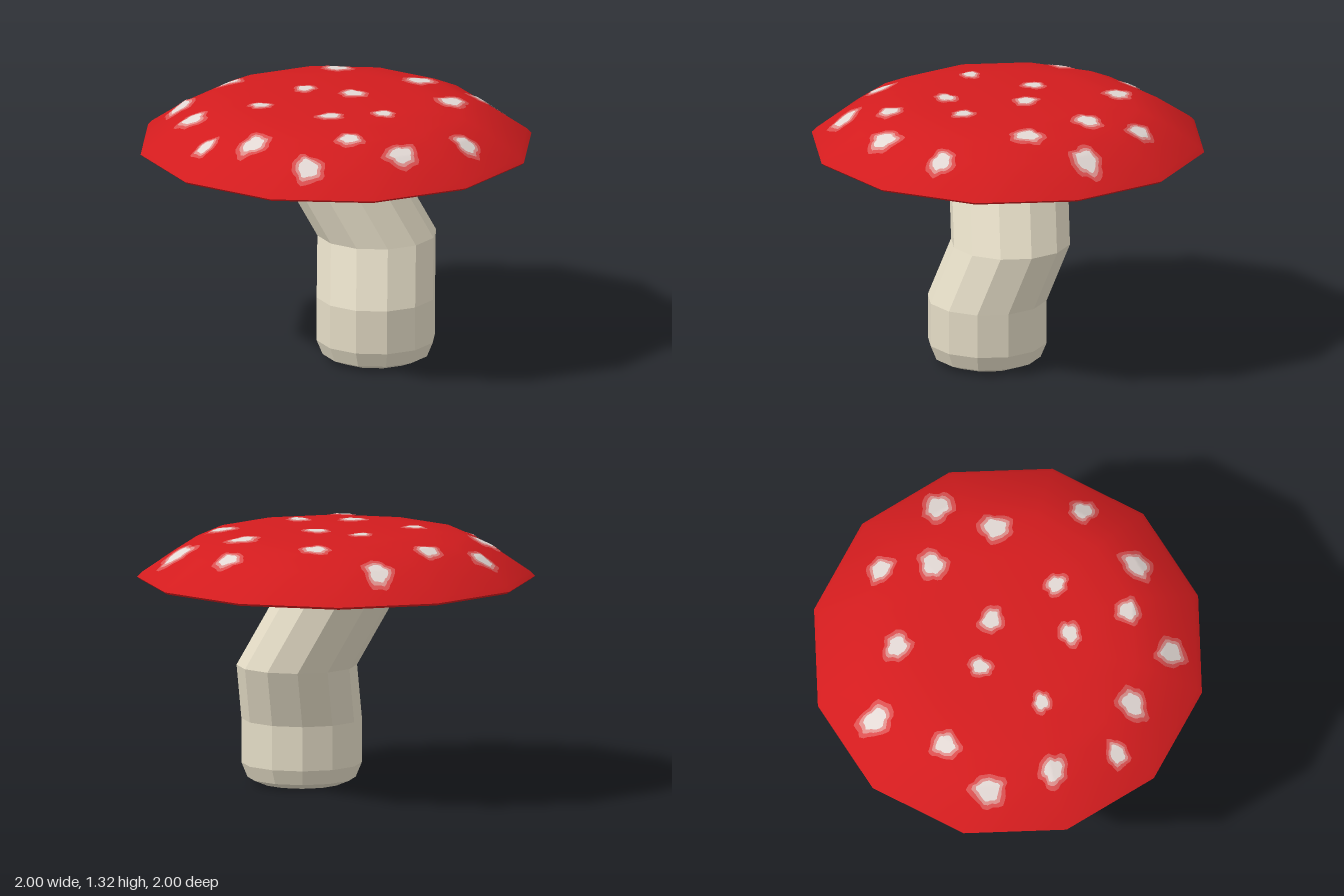
import * as THREE from 'three';
import { toCreasedNormals } from 'three/addons/utils/BufferGeometryUtils.js';

const SIDES = 12;
const mat = (name, color) => {
  const m = new THREE.MeshStandardMaterial({ color });
  m.name = name;
  return m;
};

// Upper cap profile: [radius, height] from the rim to the flat crown
const CAP_TOP = [[1, 1.078], [0.977, 1.102], [0.8, 1.222], [0.655, 1.287], [0.435, 1.315], [0, 1.315]];

// Height of the faceted cap surface above any point
function capHeight(x, z) {
  let r = 0;
  for (let i = 0; i < SIDES; i++) {
    const a = (i + 0.5) * Math.PI * 2 / SIDES;
    r = Math.max(r, x * Math.cos(a) + z * Math.sin(a));
  }
  r /= Math.cos(Math.PI / SIDES);
  for (let i = 0; i < CAP_TOP.length - 1; i++) {
    const [r0, y0] = CAP_TOP[i], [r1, y1] = CAP_TOP[i + 1];
    if (r >= r1) return y0 + (y1 - y0) * (r0 - r) / (r0 - r1);
  }
  return CAP_TOP[CAP_TOP.length - 1][1];
}

function lathe(points) {
  return new THREE.LatheGeometry(points.map(p => new THREE.Vector2(p[0], p[1])), SIDES);
}

// Ragged blob that follows the cap surface, longer along one direction
function blob([cx, cz, radius, stretch, degrees], scale, lift, seed) {
  const N = 24, RINGS = 5, pos = [], index = [];
  const turn = degrees * Math.PI / 180, c = Math.cos(turn), s = Math.sin(turn);
  const outline = a => radius * scale * (1 + 0.08 * Math.sin(3 * a + seed * 2.9)
    + 0.08 * Math.sin(5 * a + seed * 4.3) + 0.05 * Math.sin(8 * a + seed * 1.7));
  const add = (x, z) => pos.push(x, capHeight(x, z) + lift, z);
  add(cx, cz);
  for (let j = 1; j <= RINGS; j++) {
    for (let k = 0; k < N; k++) {
      const a = k * Math.PI * 2 / N, r = outline(a) * j / RINGS;
      const u = r * Math.cos(a) * stretch, v = r * Math.sin(a) / stretch;
      add(cx + u * c - v * s, cz + u * s + v * c);
    }
  }
  for (let k = 0; k < N; k++) {
    const n = (k + 1) % N;
    index.push(0, 1 + n, 1 + k);
    for (let j = 0; j < RINGS - 1; j++) {
      const a = 1 + j * N, b = a + N;
      index.push(a + k, a + n, b + k, a + n, b + n, b + k);
    }
  }
  const g = new THREE.BufferGeometry();
  g.setAttribute('position', new THREE.Float32BufferAttribute(pos, 3));
  g.setIndex(index);
  g.computeVertexNormals();
  return g;
}

export function createModel() {
  const model = new THREE.Group();
  model.name = 'mushroom';
  const red = mat('cap red', 0xd31c1e);
  const cream = mat('stem cream', 0xe4dcc6);
  const layers = [
    { name: 'spotEdge', scale: 1.04, lift: 0.003, material: mat('spot rose', 0xda5050) },
    { name: 'spotMiddle', scale: 0.8, lift: 0.005, material: mat('spot pink', 0xdd8f8c) },
    { name: 'spotCore', scale: 0.6, lift: 0.007, material: mat('spot white', 0xe2d8d4) },
  ];
  const add = (parent, name, geometry, material) => {
    const mesh = new THREE.Mesh(geometry, material);
    mesh.name = name;
    parent.add(mesh);
  };

  // Cap with a deep hollow underside, soft on top and sharp at the rim
  const under = [[0, 1.225], [0.64, 1.225], [0.82, 1.066], [0.985, 1.066]];
  add(model, 'cap', toCreasedNormals(lathe([...under, ...CAP_TOP]), 0.5), red);

  // Bent stem: radius, height, centre x, centre z of each ring
  const rings = [
    [0, 0, 0.06, 0.237], [0.2, 0, 0.06, 0.237], [0.272, 0.03, 0.06, 0.237],
    [0.303, 0.105, 0.06, 0.237], [0.303, 0.33, 0.06, 0.237], [0.303, 0.62, 0.14, 0.15],
    [0.303, 0.98, 0, 0], [0.303, 1.228, 0, 0],
  ];
  const stem = lathe(rings);
  const p = stem.attributes.position;
  for (let i = 0; i < p.count; i++) {
    const [, , cx, cz] = rings[i % rings.length];
    p.setX(i, p.getX(i) + cx);
    p.setZ(i, p.getZ(i) + cz);
  }
  const stemFaces = stem.toNonIndexed();
  stemFaces.computeVertexNormals();
  add(model, 'stem', stemFaces, cream);

  // Spots: x, z, radius, stretch, direction of the stretch in degrees
  const spots = [
    [-0.47, -0.65, 0.083, 1.12, -40], [-0.16, -0.635, 0.074, 1.08, -20],
    [0.205, -0.76, 0.086, 1.12, -70], [0.37, -0.42, 0.078, 1.08, 70],
    [-0.645, -0.36, 0.077, 1.08, 70], [-0.37, -0.15, 0.056, 1.12, 45],
    [-0.015, -0.22, 0.06, 1.1, -20], [0.115, 0, 0.07, 1.1, 70],
    [0.725, -0.16, 0.074, 1.1, 75], [-0.81, -0.065, 0.062, 1.08, 20],
    [-0.695, 0.17, 0.082, 1.1, 15], [0.535, 0.02, 0.082, 1.1, 20],
    [-0.225, 0.215, 0.065, 1.14, 25], [0.005, 0.36, 0.062, 1.08, 90],
    [0.75, 0.29, 0.091, 1.1, 50], [0.44, 0.38, 0.085, 1.06, -30],
    [-0.635, 0.52, 0.08, 1.06, 80], [-0.35, 0.51, 0.07, 1.04, 40],
    [-0.2, 0.735, 0.084, 1.14, 5], [0.2, 0.77, 0.074, 1.04, 80],
  ];
  const spotGroup = new THREE.Group();
  spotGroup.name = 'capSpots';
  spots.forEach((spot, i) => {
    for (const l of layers) {
      add(spotGroup, l.name, blob(spot, l.scale, l.lift, i + 0.4 * l.scale), l.material);
    }
  });
  model.add(spotGroup);
  return model;
}
